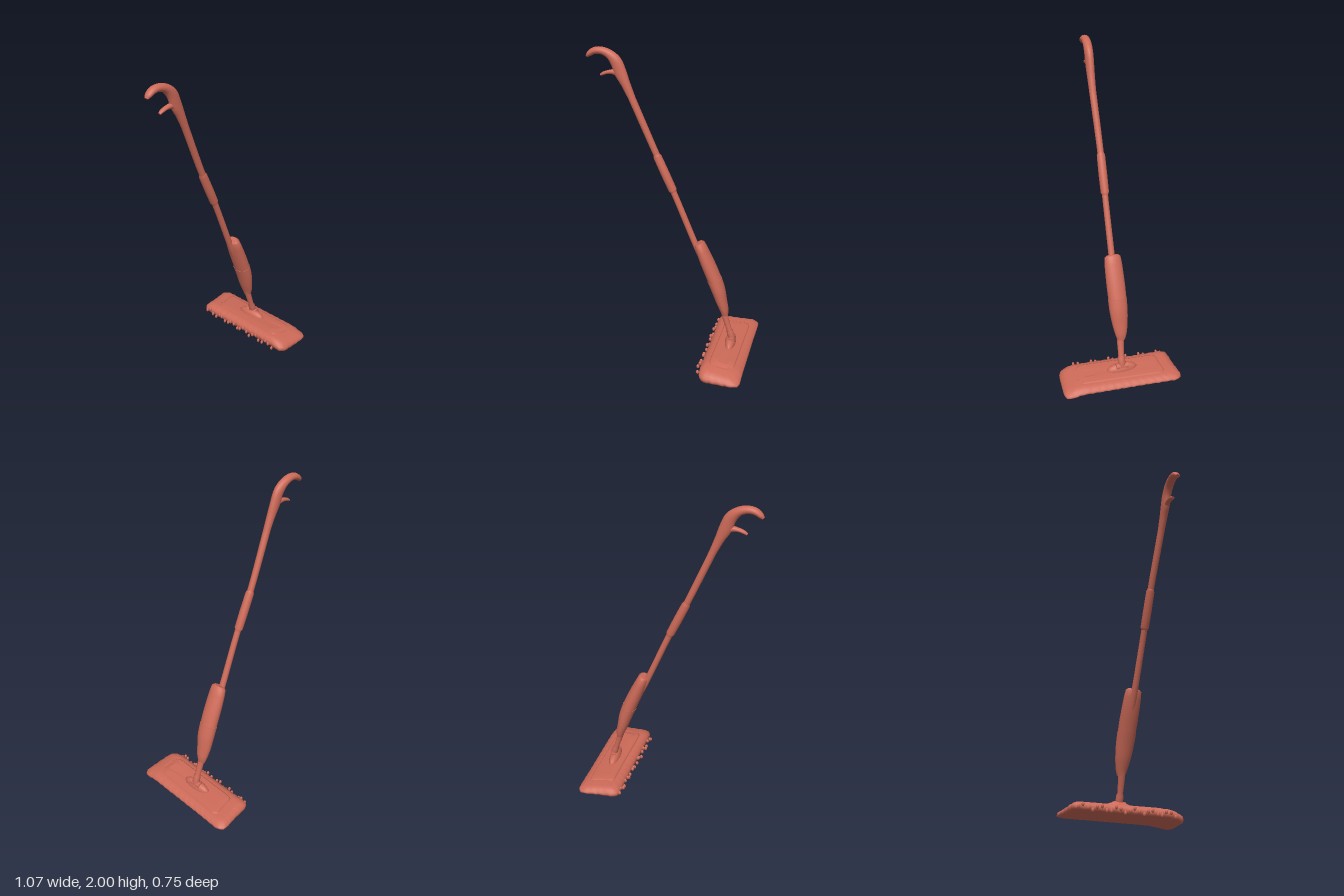
import * as THREE from 'three';

const coral = new THREE.MeshStandardMaterial({ color: 0xcd6a58 });
coral.name = 'coral';

// Skin a list of closed rings (arrays of Vector3), with separate flat end caps
function skin(rings) {
  const n = rings[0].length, pos = [], idx = [];
  const add = p => pos.push(p.x, p.y, p.z) / 3 - 1;
  rings.forEach(r => r.forEach(add));
  for (let i = 0; i < rings.length - 1; i++) {
    for (let j = 0; j < n; j++) {
      const k = (j + 1) % n;
      const a = i * n + j, b = i * n + k, c = b + n, d = a + n;
      idx.push(a, b, d, b, c, d);
    }
  }
  [rings[0], rings[rings.length - 1]].forEach((r, end) => {
    const mid = new THREE.Vector3();
    r.forEach(p => mid.addScaledVector(p, 1 / n));
    const m = add(mid), first = m + 1;
    r.forEach(add);
    for (let j = 0; j < n; j++) {
      const a = first + j, b = first + (j + 1) % n;
      if (end) idx.push(m, a, b); else idx.push(m, b, a);
    }
  });
  const g = new THREE.BufferGeometry();
  g.setAttribute('position', new THREE.Float32BufferAttribute(pos, 3));
  g.setIndex(idx);
  g.computeVertexNormals();
  return g;
}

// Elliptical sweep; each station is [x, y, z, radius in the xy plane, radius in z]
function sweep(stations, sides = 20) {
  return skin(stations.map((s, i) => {
    const p = stations[Math.max(i - 1, 0)], q = stations[Math.min(i + 1, stations.length - 1)];
    const t = new THREE.Vector2(q[0] - p[0], q[1] - p[1]).normalize();
    return Array.from({ length: sides }, (_, j) => {
      const a = j / sides * Math.PI * 2, u = Math.cos(a) * s[3];
      return new THREE.Vector3(s[0] - t.y * u, s[1] + t.x * u, s[2] + Math.sin(a) * s[4]);
    });
  }));
}

// Resample stations smoothly
function smooth(stations, count) {
  const c = new THREE.CatmullRomCurve3(stations.map(s => new THREE.Vector3(s[0], s[1], s[2])));
  const r = new THREE.CatmullRomCurve3(stations.map((s, i) => new THREE.Vector3(s[3], s[4], i * 0.02)));
  return Array.from({ length: count + 1 }, (_, i) => {
    const p = c.getPoint(i / count), w = r.getPoint(i / count);
    return [p.x, p.y, p.z, w.x, w.y];
  });
}

export function createModel() {
  const model = new THREE.Group();
  model.name = 'sprayMop';
  const put = (name, geometry, parent = model) => {
    const m = new THREE.Mesh(geometry, coral);
    m.name = name;
    parent.add(m);
    return m;
  };

  // Pole with its wider coupling
  put('pole', sweep(smooth([
    [-0.27, 1.72, -0.037, 0.022, 0.022], [-0.11, 1.34, -0.041, 0.02, 0.02],
    [-0.01, 1.12, -0.035, 0.019, 0.019], [0.14, 0.755, -0.032, 0.019, 0.02],
    [0.20, 0.62, -0.03, 0.018, 0.02]], 16)));
  put('poleCoupling', sweep([
    [-0.118, 1.36, -0.041, 0.019, 0.019], [-0.111, 1.343, -0.041, 0.026, 0.026],
    [-0.06, 1.23, -0.038, 0.027, 0.027], [-0.017, 1.135, -0.036, 0.026, 0.026],
    [-0.01, 1.12, -0.036, 0.019, 0.019]]));

  // Hooked grip and trigger
  put('handle', sweep(smooth([
    [-0.535, 1.938, -0.056, 0.009, 0.012], [-0.52, 1.953, -0.055, 0.016, 0.022],
    [-0.49, 1.972, -0.053, 0.02, 0.026], [-0.45, 1.977, -0.05, 0.022, 0.026],
    [-0.40, 1.961, -0.046, 0.026, 0.027], [-0.357, 1.92, -0.042, 0.035, 0.027],
    [-0.328, 1.85, -0.04, 0.037, 0.026], [-0.298, 1.785, -0.038, 0.028, 0.024],
    [-0.255, 1.685, -0.037, 0.021, 0.021]], 36)));
  put('trigger', sweep(smooth([
    [-0.32, 1.83, -0.04, 0.02, 0.018], [-0.36, 1.853, -0.041, 0.018, 0.017],
    [-0.40, 1.853, -0.043, 0.012, 0.016], [-0.435, 1.842, -0.045, 0.01, 0.014],
    [-0.452, 1.832, -0.046, 0.007, 0.009]], 16), 14));

  // Water bottle: upper tank and lower tapering holder
  const z = -0.028;
  put('bottleTank', sweep([
    [0.156, 0.787, z, 0.024, 0.036], [0.161, 0.777, z, 0.034, 0.051],
    [0.178, 0.735, z, 0.038, 0.056], [0.205, 0.67, z, 0.043, 0.058],
    [0.235, 0.60, z, 0.045, 0.059], [0.263, 0.53, z, 0.045, 0.058]], 28));
  put('bottleHolder', sweep(smooth([
    [0.261, 0.535, z, 0.047, 0.06], [0.288, 0.46, z, 0.044, 0.058],
    [0.310, 0.38, z - 0.002, 0.036, 0.05], [0.329, 0.315, z - 0.003, 0.028, 0.038],
    [0.336, 0.275, z - 0.003, 0.02, 0.026]], 14), 28));

  // Neck and swivel joint
  put('neck', sweep([
    [0.325, 0.31, -0.028, 0.021, 0.023], [0.345, 0.24, -0.024, 0.019, 0.021],
    [0.366, 0.175, -0.021, 0.017, 0.018], [0.372, 0.16, -0.02, 0.022, 0.023],
    [0.383, 0.125, -0.02, 0.023, 0.024], [0.39, 0.09, -0.02, 0.018, 0.02]]));
  const axle = put('swivelAxle', new THREE.CylinderGeometry(0.022, 0.022, 0.08, 18));
  axle.rotation.x = Math.PI / 2;
  axle.position.set(0.385, 0.105, -0.02);

  // Mop head: rounded slab, lower toward +x and drooping at the +z end
  const head = new THREE.Group();
  head.name = 'mopHead';
  model.add(head);
  const outline = new THREE.CatmullRomCurve3([
    [0.222, 0.29], [0.23, 0.335], [0.26, 0.358], [0.35, 0.368], [0.445, 0.375], [0.477, 0.362],
    [0.488, 0.33], [0.503, 0.12], [0.518, -0.12], [0.533, -0.325], [0.525, -0.36], [0.495, -0.379],
    [0.39, -0.37], [0.29, -0.365], [0.262, -0.345], [0.256, -0.29], [0.247, -0.1], [0.233, 0.1],
  ].map(p => new THREE.Vector3(p[0], 0, p[1])), true, 'catmullrom', 0.4);
  const loop = outline.getSpacedPoints(96).slice(0, 96);
  const shape = (y, inset, ripple) => loop.map((p, j) => {
    const sx = 1 - inset / 0.135, sz = 1 - inset / 0.37;
    const cx = 0.378 - 0.033 * p.z / 0.7;
    const v = new THREE.Vector3(cx + (p.x - cx) * sx, 0, p.z * sz);
    const slope = 1 - 1.3 * (v.x - 0.36) * (y > 0.03 ? 1 : 0);
    const droop = 0.02 * THREE.MathUtils.smoothstep(v.z, 0.24, 0.37);
    v.y = y * slope - droop + ripple * Math.sin(j * 2.4) + 0.004;
    return v;
  });
  put('mopPad', skin([
    shape(0.018, 0.016, 0), shape(0.022, 0.004, 0.002), shape(0.034, 0, 0.003),
    shape(0.046, 0.003, 0.003), shape(0.058, 0.016, 0.002), shape(0.067, 0.032, 0.001),
    shape(0.07, 0.05, 0), shape(0.072, 0.09, 0)]), head);

  // Raised mounting plate on top of the pad
  const plate = put('mountingPlate', skin([
    shape(0.06, 0.05, 0), shape(0.076, 0.055, 0), shape(0.079, 0.062, 0), shape(0.08, 0.1, 0)]), head);
  plate.scale.z = 0.86;

  // Domed base of the joint
  const dome = put('jointBase', new THREE.SphereGeometry(1, 24, 14), head);
  dome.scale.set(0.036, 0.045, 0.1);
  dome.position.set(0.378, 0.077, -0.022);

  // Frayed tufts along the -x edge of the pad
  for (let i = 0; i < 22; i++) {
    const w = -0.33 + i * 0.029;
    const tuft = put('padTuft', new THREE.SphereGeometry(0.011, 8, 6), head);
    tuft.position.set(0.254 - 0.047 * (w + 0.3) / 0.6 + 0.004 * Math.sin(i * 2.1), 
      0.04 + 0.016 * Math.sin(i * 1.7), w);
    tuft.scale.set(1, 1.3, 0.8);
  }
  return model;
}
